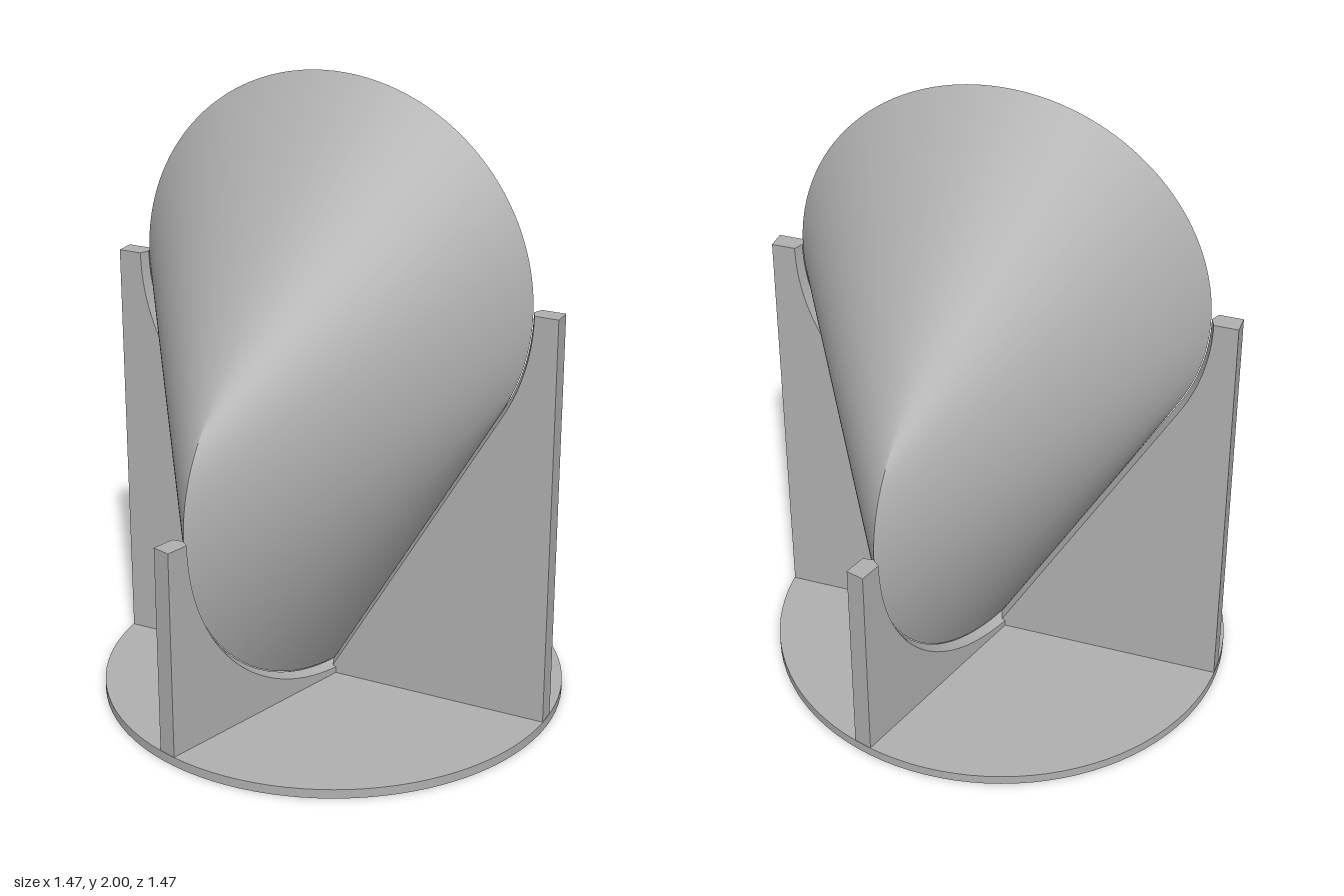
import * as THREE from 'three';
import { toCreasedNormals } from 'three/addons/utils/BufferGeometryUtils.js';

const R = 0.645;          // radius of both generating circles
const UP = 1.355;         // centre height of the upper circle
const LOW = UP - R;       // centre height of the lower circle
const TWIST = THREE.MathUtils.degToRad(-107); // heading of the lower circle's plane
const LIMIT = Math.PI * 2 / 3;
const GAP = 0.015, OUTER = 0.735, THICK = 0.06, FOOT = 0.02;

// Half of the hull of the two circles: a developable strip of straight rulings
function hullHalf() {
  const n = 120, pos = [], nor = [], idx = [];
  for (let i = 0; i <= n; i++) {
    const t = LIMIT * Math.sin((i / n - 0.5) * Math.PI);
    const c = Math.cos(t);
    const s = Math.acos(THREE.MathUtils.clamp(c / (1 + c), -1, 1));
    const a = new THREE.Vector3(R * Math.sin(t), UP + R * c, 0);
    const w = R * Math.sin(s);
    const b = new THREE.Vector3(w * Math.cos(TWIST), LOW + R * Math.cos(s), -w * Math.sin(TWIST));
    const tangent = new THREE.Vector3(c, -Math.sin(t), 0);
    const normal = b.clone().sub(a).cross(tangent).normalize();
    pos.push(...a.toArray(), ...b.toArray());
    nor.push(...normal.toArray(), ...normal.toArray());
    if (i < n) {
      const k = i * 2;
      idx.push(k, k + 1, k + 2, k + 2, k + 1, k + 3);
    }
  }
  const g = new THREE.BufferGeometry();
  g.setAttribute('position', new THREE.Float32BufferAttribute(pos, 3));
  g.setAttribute('normal', new THREE.Float32BufferAttribute(nor, 3));
  g.setIndex(idx);
  return g;
}

// Upright fin whose inner edge follows a circle, then optionally its tangent to the axis
function fin(centre, endAngle) {
  const shape = new THREE.Shape();
  shape.moveTo(0, FOOT);
  shape.lineTo(OUTER, FOOT);
  shape.lineTo(OUTER, centre);
  const r = R + GAP, n = 32;
  for (let i = 0; i <= n; i++) {
    const t = Math.PI / 2 + (endAngle - Math.PI / 2) * i / n;
    shape.lineTo(r * Math.sin(t), centre + r * Math.cos(t));
  }
  if (endAngle < Math.PI) shape.lineTo(0, centre + r / Math.cos(endAngle));
  const g = new THREE.ExtrudeGeometry(shape, { depth: THICK, steps: 2, bevelEnabled: false });
  g.translate(0, 0, -THICK / 2);

  // Raise the middle of the inner edge into a ridge that meets the hull's crease
  const p = g.attributes.position;
  for (let i = 0; i < p.count; i++) {
    const x = p.getX(i), y = p.getY(i);
    if (Math.abs(p.getZ(i)) > 0.001 || x > OUTER - 0.001 || y < FOOT + 0.001) continue;
    const t = Math.min(Math.atan2(x, y - centre), endAngle);
    const d = GAP - 0.002;
    p.setXY(i, x - d * Math.sin(t), t < Math.PI / 2 + 0.001 ? y : y - d * Math.cos(t));
  }
  return toCreasedNormals(g, 0.35);
}

export function createModel() {
  const model = new THREE.Group();
  const grey = new THREE.MeshStandardMaterial({ color: 0xb0b0b0 });
  grey.name = 'plain grey';

  const add = (name, geometry, turn = 0) => {
    const mesh = new THREE.Mesh(geometry, grey);
    mesh.name = name;
    mesh.rotation.y = turn;
    model.add(mesh);
    return mesh;
  };

  // Round base
  add('base', new THREE.CylinderGeometry(0.737, 0.737, 0.03, 96)).position.y = 0.015;

  // Rolling body: two equal halves, each a half turn apart
  const half = hullHalf();
  add('bodyFront', half);
  add('bodyBack', half, Math.PI);

  // Two tall and two short cradle fins
  const tall = fin(UP, LIMIT), short = fin(LOW, Math.PI);
  add('tallFinLeft', tall);
  add('tallFinRight', tall, Math.PI);
  add('shortFinFront', short, TWIST);
  add('shortFinBack', short, TWIST + Math.PI);

  return model;
}
